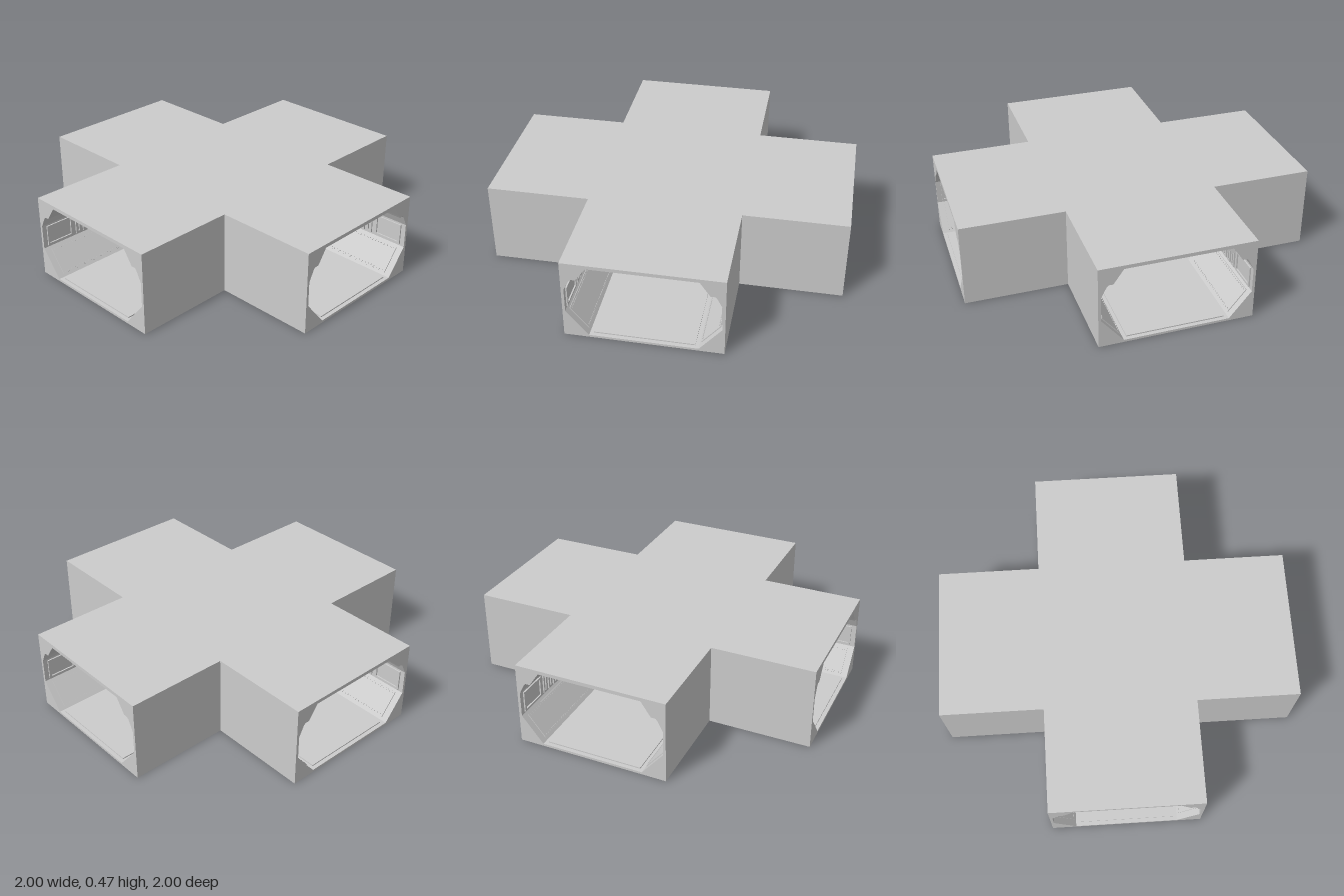
import * as THREE from 'three';
import { mergeGeometries } from 'three/addons/utils/BufferGeometryUtils.js';

const W = 0.425;              // half width of a corridor, outside
const H = 0.47;               // outer height
const LEN = 1 - W;            // length of one arm
const MID = (1 + W) / 2;      // middle of an arm

// Right half of the passage section, floor to ceiling, as [half width, height]
const PROFILE = [
  [0.29, 0.013], [0.41, 0.16], [0.41, 0.30], [0.38, 0.36],
  [0.37, 0.37], [0.345, 0.37], [0.335, 0.385], [0.29, 0.45],
];

const material = new THREE.MeshStandardMaterial({
  color: 0xcccccc, flatShading: true, side: THREE.DoubleSide,
});

function add(parent, name, geometry) {
  const mesh = new THREE.Mesh(geometry, material);
  mesh.name = name;
  parent.add(mesh);
  return mesh;
}

function box(w, h, d, x, y, z) {
  return new THREE.BoxGeometry(w, h, d).translate(x, y, z);
}

// Rectangular block of the arm, pierced by the passage
function armShell() {
  const shape = new THREE.Shape(
    [[-W, 0], [W, 0], [W, H], [-W, H]].map(([x, y]) => new THREE.Vector2(x, y)));
  const left = PROFILE.map(([x, y]) => [-x, y]).reverse();
  shape.holes.push(new THREE.Path(
    [...PROFILE, ...left].map(([x, y]) => new THREE.Vector2(x, y))));
  return new THREE.ExtrudeGeometry(shape, { depth: LEN, bevelEnabled: false }).translate(0, 0, W);
}

// Raised rectangular border standing on the side wall
function wallFrame(z, width) {
  const y = 0.23, h = 0.12, t = 0.012, x = 0.407, depth = 0.01;
  return [
    box(depth, t, width, x, y + h / 2 - t / 2, z),
    box(depth, t, width, x, y - h / 2 + t / 2, z),
    box(depth, h, t, x, y, z + width / 2 - t / 2),
    box(depth, h, t, x, y, z - width / 2 + t / 2),
  ];
}

// Fittings of one side of an arm, centred on the arm's length
function armSide() {
  const side = new THREE.Group();
  side.name = 'armSide';

  const frames = [];
  for (const s of [-1, 1]) frames.push(...wallFrame(s * 0.175, 0.17));
  for (const z of [-0.05, 0, 0.05]) frames.push(...wallFrame(z, 0.035));
  add(side, 'wallFrames', mergeGeometries(frames));

  // Sloping plate at the foot of the wall, with a toothed strip along each long edge
  const plate = [box(0.155, 0.01, 0.5, 0, 0, 0)];
  for (let i = 0; i < 24; i++) {
    const z = (i - 11.5) * 0.02;
    plate.push(box(0.007, 0.007, 0.01, -0.068, 0.005, z), box(0.007, 0.007, 0.01, 0.068, 0.005, z));
  }
  const slope = add(side, 'slopePlate', mergeGeometries(plate));
  slope.position.set(0.35, 0.0865, 0);
  slope.rotation.z = Math.atan2(0.147, 0.12);
  return side;
}

function arm() {
  const group = new THREE.Group();
  group.name = 'arm';
  add(group, 'armShell', armShell());
  add(group, 'floorPlate', box(0.54, 0.01, 0.53, 0, 0.014, MID));
  add(group, 'ceilingPlate', box(0.54, 0.01, 0.53, 0, 0.448, MID));
  for (const turn of [0, Math.PI]) {
    const side = armSide();
    side.position.z = MID;
    side.rotation.y = turn;
    group.add(side);
  }
  return group;
}

// Facet that carries the passage section around an inner corner
function cornerFacet() {
  const positions = [], index = [];
  PROFILE.forEach(([w, y], i) => {
    positions.push(w, y, W, W, y, w);
    if (i) {
      const a = 2 * i - 2;
      index.push(a, a + 2, a + 1, a + 1, a + 2, a + 3);
    }
  });
  const geometry = new THREE.BufferGeometry();
  geometry.setAttribute('position', new THREE.Float32BufferAttribute(positions, 3));
  geometry.setIndex(index);
  geometry.computeVertexNormals();
  return geometry;
}

// Floor of the crossing, with its four corners cut away
function crossingFloor() {
  const c = PROFILE[0][0];
  const corners = [[W, -c], [W, c], [c, W], [-c, W], [-W, c], [-W, -c], [-c, -W], [c, -W]];
  const shape = new THREE.Shape(corners.map(([x, y]) => new THREE.Vector2(x, y)));
  return new THREE.ExtrudeGeometry(shape, { depth: 0.013, bevelEnabled: false })
    .rotateX(-Math.PI / 2);
}

export function createModel() {
  const model = new THREE.Group();
  model.name = 'corridorCrossing';

  // Crossing
  add(model, 'crossingFloor', crossingFloor());
  add(model, 'crossingRoof', box(2 * W, H - 0.45, 2 * W, 0, (H + 0.45) / 2, 0));
  add(model, 'crossingFloorPlate', box(0.54, 0.01, 0.54, 0, 0.014, 0));
  add(model, 'crossingCeilingPlate', box(0.54, 0.01, 0.54, 0, 0.448, 0));

  // Four arms and the corners between them
  for (let i = 0; i < 4; i++) {
    const quarter = new THREE.Group();
    quarter.name = 'quarter';
    quarter.rotation.y = i * Math.PI / 2;
    quarter.add(arm());
    add(quarter, 'cornerFacet', cornerFacet());
    model.add(quarter);
  }
  return model;
}
